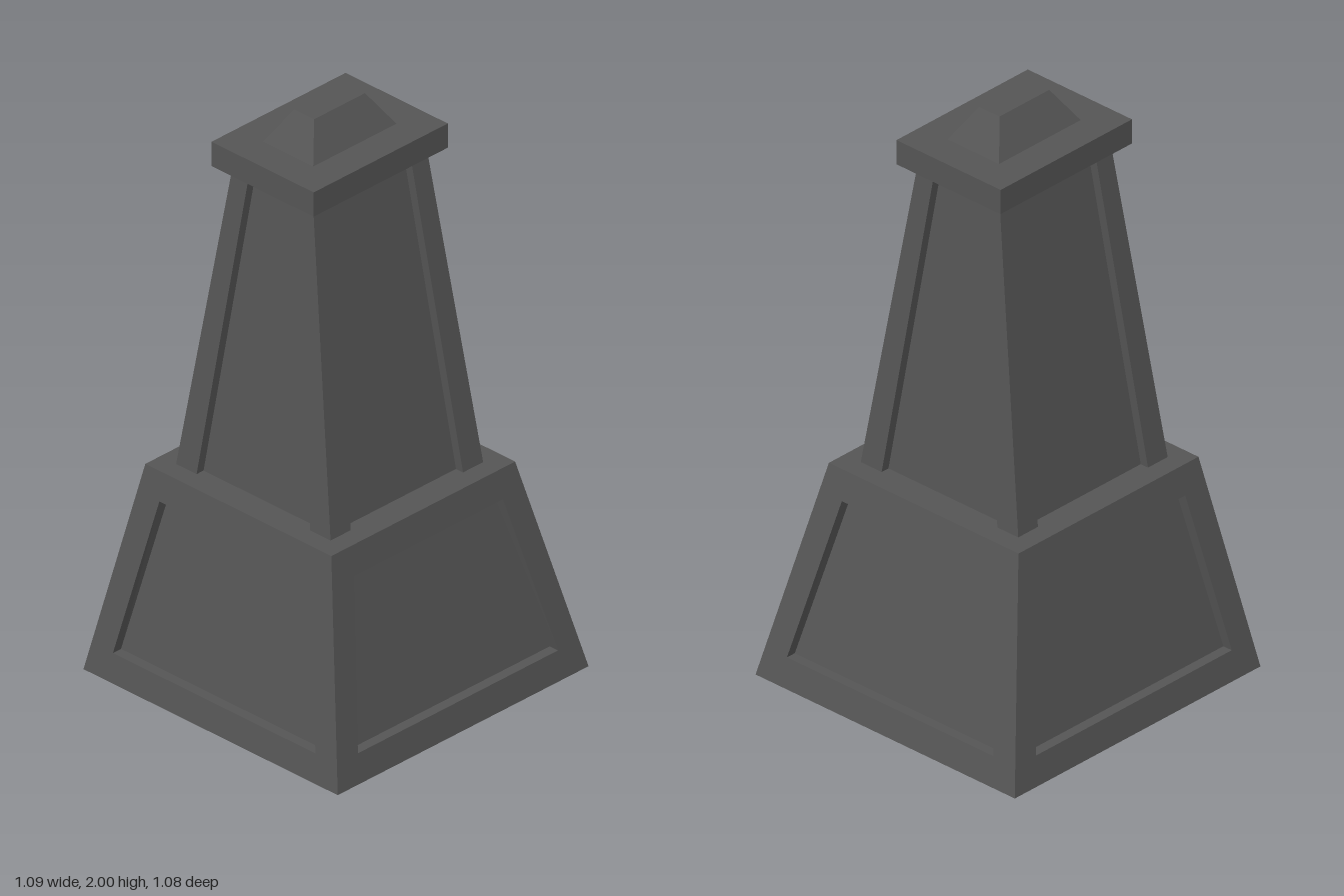
import * as THREE from 'three';

// Corners of a level rectangle, counter-clockwise from the front left.
const ring = (x0, x1, z, y) => [[x0, z], [x1, z], [x1, -z], [x0, -z]]
  .map(([x, d]) => new THREE.Vector3(x, y, d));

// Flat-shaded mesh from four-cornered faces.
function quadMesh(name, quads, material) {
  const points = quads.flatMap(([a, b, c, d]) => [a, b, c, a, c, d]);
  const geometry = new THREE.BufferGeometry().setFromPoints(points);
  geometry.computeVertexNormals();
  const mesh = new THREE.Mesh(geometry, material);
  mesh.name = name;
  return mesh;
}

// Plain tapered block between two rectangles.
function block(name, low, high, material) {
  const quads = [[...low].reverse(), high];
  for (let i = 0; i < 4; i++) {
    const j = (i + 1) % 4;
    quads.push([low[i], low[j], high[j], high[i]]);
  }
  return quadMesh(name, quads, material);
}

// Tapered block with a sunken panel in each side.
// from/to: panel height as fractions; marginLow/marginHigh: corner widths.
function panelledBlock(name, low, high, p, material) {
  const group = new THREE.Group();
  group.name = name;
  const frame = [[...low].reverse(), high];
  const panels = [];
  for (let i = 0; i < 4; i++) {
    const j = (i + 1) % 4;
    const along = low[j].clone().sub(low[i]).normalize();
    const inward = new THREE.Vector3(-along.z, 0, along.x).cross(new THREE.Vector3(0, 1, 0));
    inward.crossVectors(new THREE.Vector3(0, 1, 0), along).multiplyScalar(p.depth);
    const edge = (k, t, margin) => low[k].clone().lerp(high[k], t).addScaledVector(along, margin);
    const outer = [low[i], low[j], high[j], high[i]];
    const inner = [
      edge(i, p.from, p.marginLow), edge(j, p.from, -p.marginLow),
      edge(j, p.to, -p.marginHigh), edge(i, p.to, p.marginHigh),
    ];
    const sunk = inner.map((v, k) => {
      const s = v.clone().add(inward);
      if (k > 1) s.y -= p.drop;
      return s;
    });
    for (let k = 0; k < 4; k++) {
      // Full-height panels need no rail or ledge above and below.
      if (p.open && k % 2 === 0) continue;
      const m = (k + 1) % 4;
      frame.push([outer[k], outer[m], inner[m], inner[k]]);
      frame.push([inner[k], inner[m], sunk[m], sunk[k]]);
    }
    panels.push(sunk);
  }
  group.add(quadMesh(name + 'Frame', frame, material), quadMesh(name + 'Panels', panels, material));
  return group;
}

export function createModel() {
  const stone = new THREE.MeshStandardMaterial({ color: 0x555555 });
  const model = new THREE.Group();
  model.name = 'stonePillar';

  // Wide pedestal with framed panels
  model.add(panelledBlock('pedestal',
    ring(-0.545, 0.54, 0.54, 0), ring(-0.425, 0.37, 0.395, 0.73),
    { from: 0.13, to: 0.87, marginLow: 0.091, marginHigh: 0.094, depth: 0.035, drop: 0.008 }, stone));

  // Tapered shaft with corner posts
  model.add(panelledBlock('shaft',
    ring(-0.36, 0.3, 0.328, 0.73), ring(-0.275, 0.215, 0.17, 1.81),
    { from: 0, to: 1, marginLow: 0.087, marginHigh: 0.07, depth: 0.03, drop: 0, open: true }, stone));

  // Overhanging slab and the truncated pyramid on top
  model.add(block('capSlab', ring(-0.32, 0.26, 0.217, 1.805), ring(-0.32, 0.26, 0.217, 1.89), stone));
  model.add(block('capTop', ring(-0.21, 0.15, 0.107, 1.89), ring(-0.14, 0.08, 0.042, 2), stone));
  return model;
}
